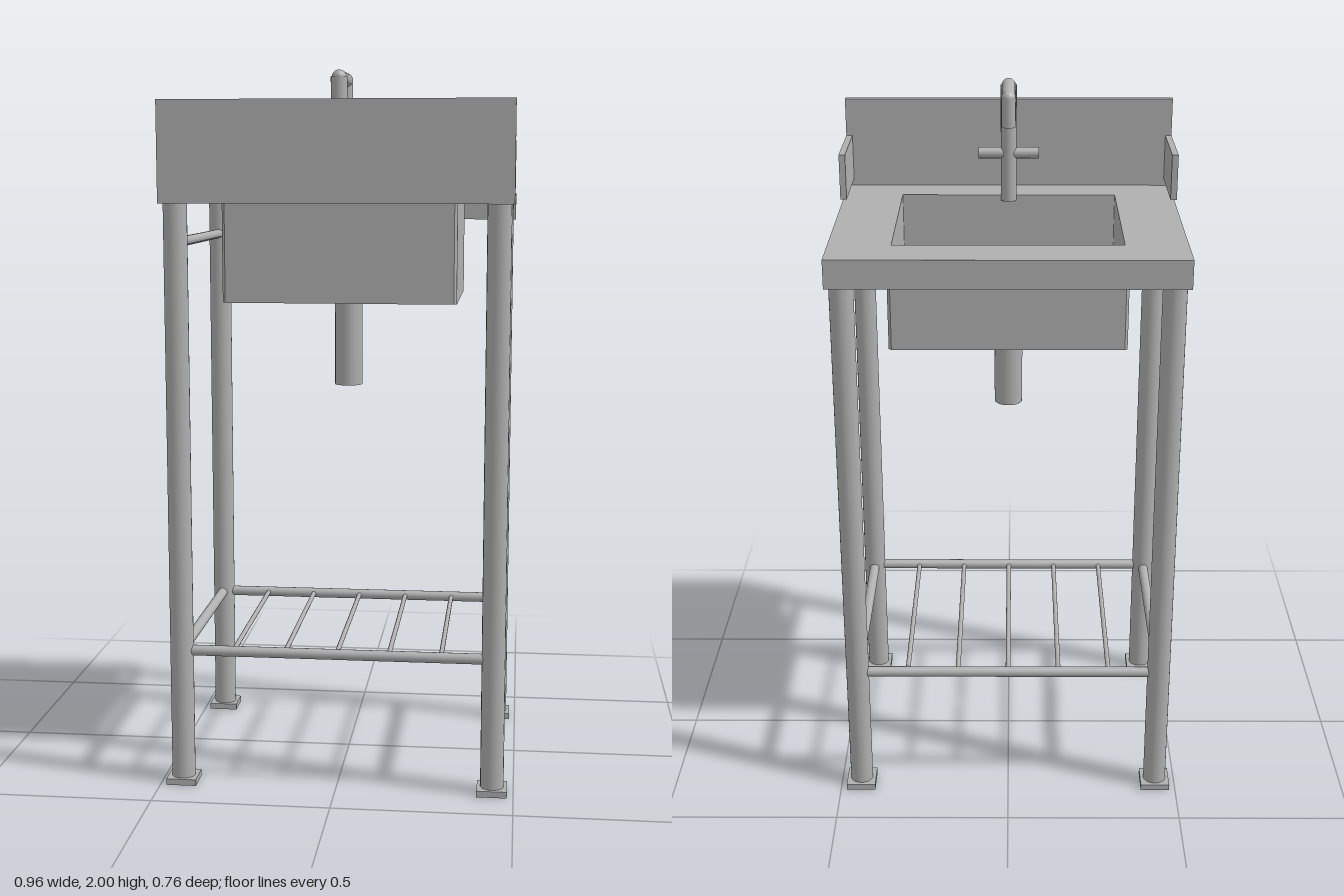
import * as THREE from 'three';

export function createModel() {
  const model = new THREE.Group();
  model.name = 'washStand';
  const steel = new THREE.MeshStandardMaterial({ color: 0xb0b0b0 });
  steel.name = 'steel grey';

  const add = (name, geometry, x, y, z) => {
    const mesh = new THREE.Mesh(geometry, steel);
    mesh.name = name;
    mesh.position.set(x, y, z);
    model.add(mesh);
    return mesh;
  };
  const box = (name, w, h, d, x, y, z) => add(name, new THREE.BoxGeometry(w, h, d), x, y, z);
  // Round bar between two points
  const bar = (name, r, a, b, sides = 20) => {
    const from = new THREE.Vector3(...a), to = new THREE.Vector3(...b);
    const dir = to.clone().sub(from);
    const mesh = add(name, new THREE.CylinderGeometry(r, r, dir.length(), sides), 0, 0, 0);
    mesh.position.copy(from).add(to).multiplyScalar(0.5);
    mesh.quaternion.setFromUnitVectors(new THREE.Vector3(0, 1, 0), dir.normalize());
    return mesh;
  };
  // Rectangle outline in plan (x, -z), with optional cut corners
  const rect = (path, x, z0, z1, c = 0) => path.setFromPoints([
    [-x + c, -z1], [x - c, -z1], [x, -z1 + c], [x, -z0 - c],
    [x - c, -z0], [-x + c, -z0], [-x, -z0 - c], [-x, -z1 + c],
  ].map(([px, py]) => new THREE.Vector2(px, py)));
  const slab = (name, shape, y0, y1) => {
    const geometry = new THREE.ExtrudeGeometry(shape, { depth: y1 - y0, bevelEnabled: false });
    add(name, geometry.rotateX(-Math.PI / 2), 0, y0, 0);
  };
  const basinHole = () => rect(new THREE.Path(), 0.31, -0.245, 0.25);

  // Worktop with basin opening
  const top = rect(new THREE.Shape(), 0.48, -0.378, 0.378);
  top.holes.push(basinHole());
  slab('worktop', top, 1.642, 1.66);
  box('apron', 0.96, 0.08, 0.016, 0, 1.62, -0.37);

  // Splash panels
  box('splashback', 0.96, 0.276, 0.02, 0, 1.78, 0.368);
  for (const s of [-1, 1]) box('sideSplash', 0.018, 0.13, 0.236, s * 0.471, 1.745, 0.242);

  // Basin and drain
  const walls = rect(new THREE.Shape(), 0.325, -0.257, 0.27, 0.008);
  walls.holes.push(basinHole());
  slab('basinWalls', walls, 1.367, 1.642);
  slab('basinFloor', rect(new THREE.Shape(), 0.315, -0.25, 0.255), 1.368, 1.382);
  bar('drain', 0.04, [0, 1.11, 0.008], [0, 1.37, 0.008]);

  // Legs, feet and side rails
  const zFront = 0.338, zBack = -0.322, xLeg = 0.44, yShelf = 0.387;
  for (const s of [-1, 1]) {
    const x = s * xLeg;
    for (const z of [zFront, zBack]) {
      bar('leg', 0.033, [x, 0.015, z], [x, 1.643, z]);
      box('foot', 0.085, 0.018, 0.085, x, 0.009, z);
    }
    bar('upperRail', 0.014, [x, 1.535, zBack], [x, 1.535, zFront]);
    bar('shelfSideRail', 0.015, [x, yShelf, zBack], [x, yShelf, zFront]);
  }

  // Open shelf
  for (const z of [zFront, zBack]) bar('shelfLongRail', 0.015, [-xLeg, yShelf, z], [xLeg, yShelf, z]);
  for (let i = 1; i <= 5; i++) {
    const x = -xLeg + (i * 2 * xLeg) / 6;
    bar('shelfRod', 0.007, [x, yShelf, zBack], [x, yShelf, zFront], 12);
  }

  // Tap
  const zTap = 0.252, zTip = 0.08;
  bar('tapPost', 0.023, [0, 1.645, zTap], [0, 1.982, zTap]);
  bar('tapSpout', 0.02, [0, 1.98, zTap], [0, 1.98, zTip]);
  bar('tapOutlet', 0.02, [0, 1.9, zTip], [0, 1.982, zTip]);
  add('tapElbow', new THREE.SphereGeometry(0.02, 16, 12), 0, 1.98, zTip);
  add('tapElbow', new THREE.SphereGeometry(0.02, 16, 12), 0, 1.98, zTap);
  bar('tapHandle', 0.016, [-0.087, 1.785, 0.25], [0.087, 1.785, 0.25]);

  return model;
}
